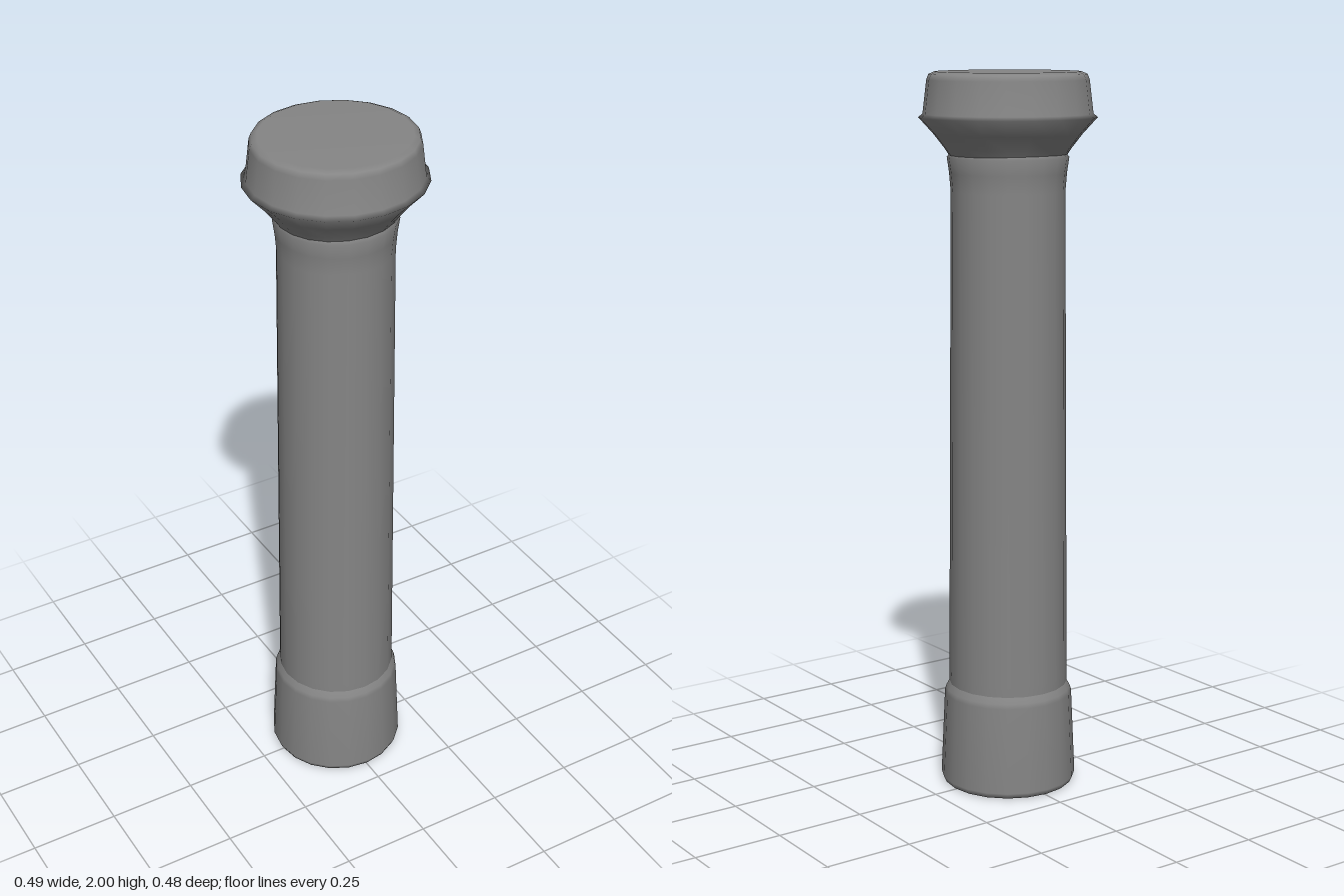
import * as THREE from 'three';

const SIDES = 20;

export function createModel() {
  const model = new THREE.Group();
  const material = new THREE.MeshStandardMaterial({ color: 0x858585 });

  // Turned section from [radius, height] pairs, listed bottom to top
  function turned(name, profile, depth = 1) {
    const points = profile.map(([r, y]) => new THREE.Vector2(r, y));
    const geometry = new THREE.LatheGeometry(points, SIDES).scale(1, 1, depth);
    const mesh = new THREE.Mesh(geometry, material);
    mesh.name = name;
    model.add(mesh);
  }

  // Foot with a softened bottom rim and a chamfer up to the shaft
  turned('foot', [[0, 0], [0.168, 0], [0.184, 0.003], [0.191, 0.018], [0.18, 0.262], [0.176, 0.275], [0.167, 0.292]]);

  // Long tapered shaft, swelling at the neck into a small rounded ring
  turned('shaft', [[0.167, 0.292], [0.167, 0.32], [0.156, 1.68], [0.16, 1.73], [0.166, 1.772], [0.156, 1.785]]);

  // Flared collar running smoothly over the lip into the tapered, round-rimmed head;
  // slightly narrower front to back than the shaft
  turned('head', [
    [0.162, 1.778], [0.175, 1.797], [0.205, 1.835], [0.245, 1.878],
    [0.233, 1.888], [0.222, 1.978], [0.216, 1.993], [0.2, 2], [0, 2],
  ], 0.97);

  return model;
}
